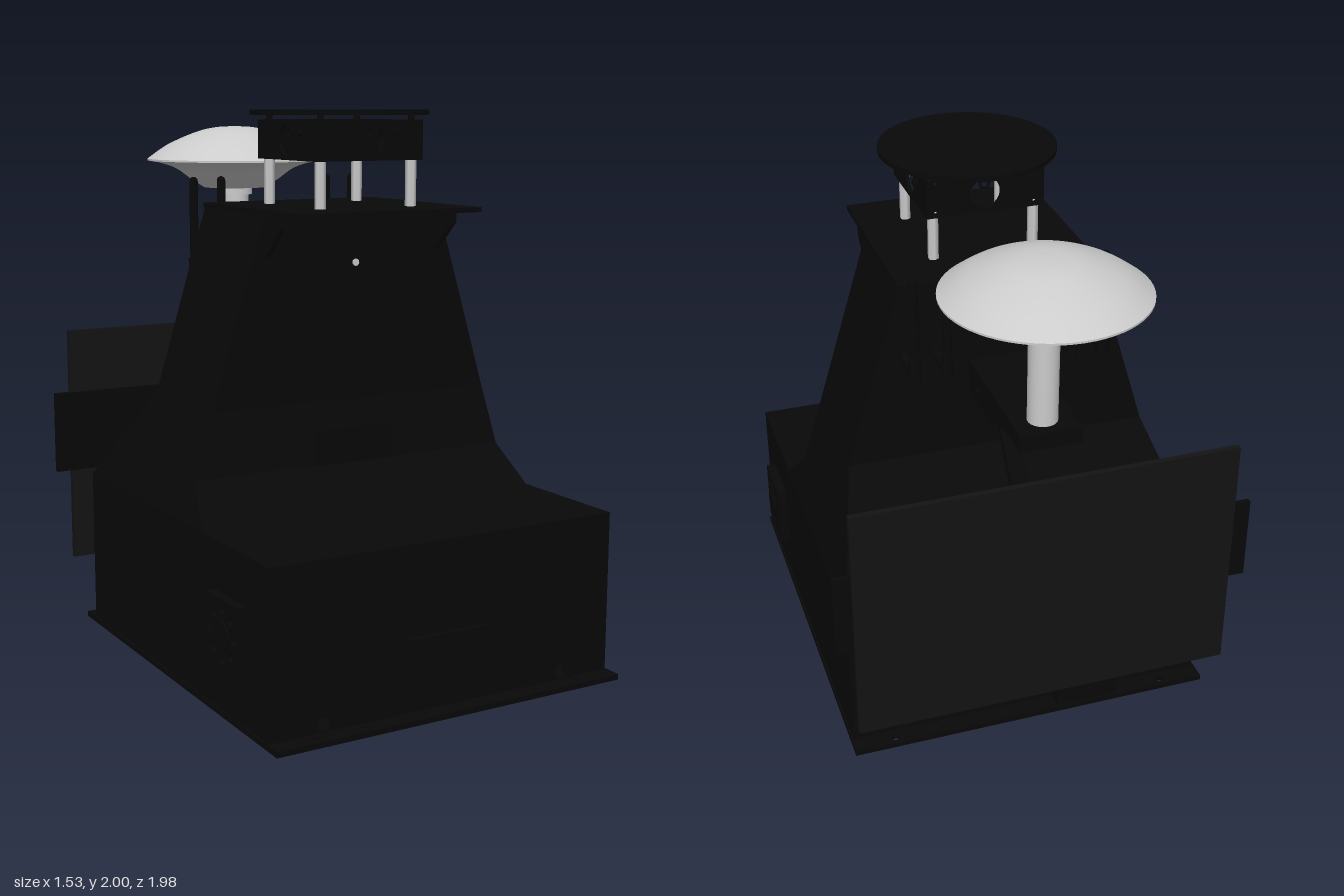
import * as THREE from 'three';

const mat = (color) => new THREE.MeshStandardMaterial({ color });

export function createModel() {
  const model = new THREE.Group();
  const black = mat(0x080808), panel = mat(0x131313), grey = mat(0xcccccc), green = mat(0x0a8a1a);

  const add = (name, geometry, material = black, x = 0, y = 0, z = 0, parent = model) => {
    const m = new THREE.Mesh(geometry, material);
    m.name = name;
    m.position.set(x, y, z);
    parent.add(m);
    return m;
  };
  // Box given by its limits
  const box = (name, x0, x1, y0, y1, z0, z1, material = black) =>
    add(name, new THREE.BoxGeometry(x1 - x0, y1 - y0, z1 - z0), material, (x0 + x1) / 2, (y0 + y1) / 2, (z0 + z1) / 2);
  const cyl = (r, h, n = 24, r2 = r) => new THREE.CylinderGeometry(r, r2, h, n);

  // Plate with round holes [u, v, r], extruded and centred across its thickness
  const plate = (points, holes, depth) => {
    const s = new THREE.Shape(points.map(p => new THREE.Vector2(p[0], p[1])));
    for (const [u, v, r] of holes) {
      const h = new THREE.Path();
      h.absarc(u, v, r, 0, Math.PI * 2, true);
      s.holes.push(h);
    }
    return new THREE.ExtrudeGeometry(s, { depth, bevelEnabled: false, curveSegments: 10 }).translate(0, 0, -depth / 2);
  };
  const rect = (u0, u1, v0, v1) => [[u0, v0], [u1, v0], [u1, v1], [u0, v1]];
  const sideways = (g) => g.rotateY(-Math.PI / 2); // outline in (z, y)
  const flat = (g) => g.rotateX(Math.PI / 2);      // outline in (x, z)

  // Base plate with bolt holes along front and rear
  const bolts = [];
  for (const s of [-1, 1]) {
    bolts.push([s * 0.53, 0.95, 0.015], [s * 0.35, 0.95, 0.008], [s * 0.11, 0.95, 0.008]);
    bolts.push([s * 0.53, -0.58, 0.015], [s * 0.35, -0.58, 0.008]);
  }
  add('basePlate', flat(plate(rect(-0.69, 0.69, -0.61, 0.985), bolts, 0.02)), black, 0, 0.01, 0);

  // Hollow base cabinet
  const vents = [];
  for (let i = 0; i < 8; i++) {
    const a = i * Math.PI / 4;
    vents.push([0.66 + 0.085 * Math.cos(a), 0.31 + 0.085 * Math.sin(a), 0.017]);
  }
  const screwHoles = [[0.64, 0.56], [0.5, 0.56], [0.26, 0.56], [0, 0.56], [-0.14, 0.56], [-0.41, 0.575], [-0.51, 0.575],
    [0.26, 0.53], [-0.41, 0.53], [-0.51, 0.44], [0.26, 0.38], [0.12, 0.38], [0.26, 0.25], [0.12, 0.25],
    [0.42, 0.05], [-0.04, 0.05]].map(p => [...p, 0.007]);
  for (const s of [-1, 1]) {
    add('baseSideWall', sideways(plate(rect(-0.54, 0.92, 0.02, 0.6), [...screwHoles, [0.66, 0.31, 0.106]], 0.016)), black, s * 0.674);
    add('fanHousing', sideways(plate(rect(0.54, 0.77, 0.19, 0.43), vents, 0.036)), black, s * 0.7);
    const hub = add('fanHub', cyl(0.055, 0.012), black, s * 0.722, 0.31, 0.66);
    hub.rotation.z = Math.PI / 2;
  }
  const cableHoles = [[-0.48, 0.048, 0.024], [0.48, 0.048, 0.024]];
  add('baseFrontWall', plate(rect(-0.67, 0.67, 0.02, 0.6), cableHoles, 0.016), black, 0, 0, 0.912);
  add('baseRearWall', plate(rect(-0.67, 0.67, 0.02, 0.6), cableHoles, 0.016), black, 0, 0, -0.532);
  box('baseRoof', -0.675, 0.675, 0.586, 0.6, -0.535, 0.915);
  box('lowerFrontHatch', -0.165, 0.165, 0.13, 0.28, 0.915, 0.932);
  box('rearTab', -0.12, 0.12, 0.58, 0.72, -0.553, -0.543);
  box('rearFoot', -0.34, -0.1, 0.02, 0.11, -0.6, -0.54);

  // Green terminal plug on the rear wall
  box('terminalSocket', -0.27, -0.18, 0.14, 0.2, -0.565, -0.54);
  box('terminalPlug', -0.265, -0.185, 0.15, 0.21, -0.61, -0.56, green);
  for (let i = 0; i < 4; i++) {
    box('terminalPin', -0.262 + i * 0.02, -0.248 + i * 0.02, 0.155, 0.195, -0.632, -0.61, green);
  }

  // Tapered tower lofted from rectangles [y, half width, front z, rear z]
  const levels = [[0.6, 0.68, 0.44, -0.54], [0.74, 0.637, 0.3, -0.4], [0.97, 0.567, 0.295, -0.17], [1.65, 0.36, 0.295, -0.17]];
  const rings = levels.map(([y, w, f, b]) => [[-w, y, f], [w, y, f], [w, y, b], [-w, y, b]]);
  const pos = [];
  const quad = (a, b, c, d) => pos.push(...a, ...b, ...c, ...a, ...c, ...d);
  for (let i = 0; i < rings.length - 1; i++) {
    for (let j = 0; j < 4; j++) {
      const k = (j + 1) % 4;
      quad(rings[i][j], rings[i][k], rings[i + 1][k], rings[i + 1][j]);
    }
  }
  quad(...rings[3]);
  const tower = new THREE.BufferGeometry();
  tower.setAttribute('position', new THREE.Float32BufferAttribute(pos, 3));
  tower.computeVertexNormals();
  add('tower', tower);
  box('upperFrontHatch', -0.26, 0.26, 1.18, 1.6, 0.29, 0.306);
  box('middleFrontHatch', -0.165, 0.165, 0.71, 0.87, 0.29, 0.303);
  const lock = add('hatchLock', cyl(0.013, 0.01, 12), grey, 0, 1.465, 0.306);
  lock.rotation.x = Math.PI / 2;
  for (const s of [-1, 1]) {
    const gusset = [[0.28, 1.49], [0.305, 1.5], [0.41, 1.6], [0.41, 1.645], [0.28, 1.645]];
    add('roofGusset', sideways(plate(gusset, [], 0.02)), black, s * 0.35);
  }
  box('towerRoof', -0.365, 0.365, 1.645, 1.662, -0.175, 0.555);

  // Sensor head: four posts, open square housing and round cover
  for (const x of [-0.185, 0.185]) {
    for (const z of [0.005, 0.375]) {
      add('sensorPost', cyl(0.02, 0.17, 6), grey, x, 1.745, z);
      add('coverSpacer', cyl(0.012, 0.025, 8), black, x, 1.973, z);
    }
  }
  const corners = [];
  for (const u of [-0.18, 0.18]) for (const v of [1.845, 1.95]) corners.push([u, v, 0.007]);
  for (let i = 0; i < 4; i++) {
    const side = new THREE.Group();
    side.name = 'sensorHousingSide';
    side.position.z = 0.19;
    side.rotation.y = i * Math.PI / 2;
    model.add(side);
    add('sensorWall', plate(rect(-0.215, 0.215, 1.825, 1.965), [...corners, [0, 1.895, 0.056]], 0.014), black, 0, 0, 0.208, side);
    add('cableRing', new THREE.TorusGeometry(0.016, 0.005, 8, 20), black, 0, 1.925, 0.2, side);
    const knob = add('sideScrew', cyl(0.012, 0.02, 12), black, 0, 1.92, 0.222, side);
    knob.position.x = 0.1;
    knob.rotation.x = Math.PI / 2;
  }
  add('sensorCover', cyl(0.32, 0.018, 48), black, 0, 1.991, 0.19);

  // Rod aerials on the rear of the tower
  for (const x of [-0.345, -0.23, 0.23, 0.345]) {
    const plug = add('aerialPlug', cyl(0.02, 0.14, 12), black, x, 1.38, -0.235);
    plug.rotation.x = Math.PI / 2;
    add('aerialBase', cyl(0.022, 0.09, 12), black, x, 1.4, -0.3);
    add('aerialRod', new THREE.CapsuleGeometry(0.016, 0.34, 4, 12), black, x, 1.565, -0.3);
  }

  // Rear bracket carrying the dome antenna
  const arm = [[-0.16, 1.2], [-0.16, 1.33], [-0.725, 1.33], [-0.725, 1.27], [-0.6, 1.27], [-0.29, 1.2]];
  add('antennaBracket', sideways(plate(arm, [[-0.27, 1.265, 0.014]], 0.22)));
  add('antennaPole', cyl(0.053, 0.34, 32), grey, 0, 1.5, -0.635);
  add('antennaCollar', cyl(0.068, 0.03, 32), grey, 0, 1.677, -0.635);
  const under = new THREE.SplineCurve([[0.125, 1.69], [0.175, 1.722], [0.235, 1.765], [0.295, 1.787], [0.35, 1.798]].map(p => new THREE.Vector2(...p)));
  const over = new THREE.SplineCurve([[0.35, 1.805], [0.27, 1.86], [0.16, 1.908], [0.08, 1.928], [0, 1.933]].map(p => new THREE.Vector2(...p)));
  add('antennaUnderside', new THREE.LatheGeometry([new THREE.Vector2(0, 1.69), new THREE.Vector2(0.125, 1.69)], 48), grey, 0, 0, -0.64);
  add('antennaFlare', new THREE.LatheGeometry(under.getPoints(16), 64), grey, 0, 0, -0.64);
  add('antennaRim', new THREE.LatheGeometry([new THREE.Vector2(0.35, 1.798), new THREE.Vector2(0.35, 1.805)], 64), grey, 0, 0, -0.64);
  add('antennaDome', new THREE.LatheGeometry(over.getPoints(20), 64), grey, 0, 0, -0.64);

  // Strut holding the display panel
  const upperLug = [[-0.16, 1.11], [-0.16, 1.18], [-0.27, 1.18], [-0.29, 1.15], [-0.265, 1.11]];
  const lowerLug = [[-0.715, 0.645], [-0.61, 0.645], [-0.58, 0.675], [-0.6, 0.71], [-0.715, 0.71]];
  for (const x of [-0.045, 0.045]) {
    add('upperLug', sideways(plate(upperLug, [[-0.25, 1.145, 0.021]], 0.02)), black, x);
    add('lowerLug', sideways(plate(lowerLug, [[-0.62, 0.675, 0.021]], 0.02)), black, x);
  }
  const strut = add('panelStrut', new THREE.BoxGeometry(0.07, 0.53, 0.028), black, 0, 0.91, -0.437);
  strut.rotation.x = Math.atan2(0.34, 0.43);
  box('panelMount', -0.1, 0.1, 0.64, 0.76, -0.71, -0.695);

  // Display panel with its wider backing bar
  box('displayPanel', -0.7, 0.7, 0.22, 1.14, -0.735, -0.713, panel);
  box('panelBar', -0.765, 0.765, 0.58, 0.895, -0.725, -0.705);

  return model;
}
